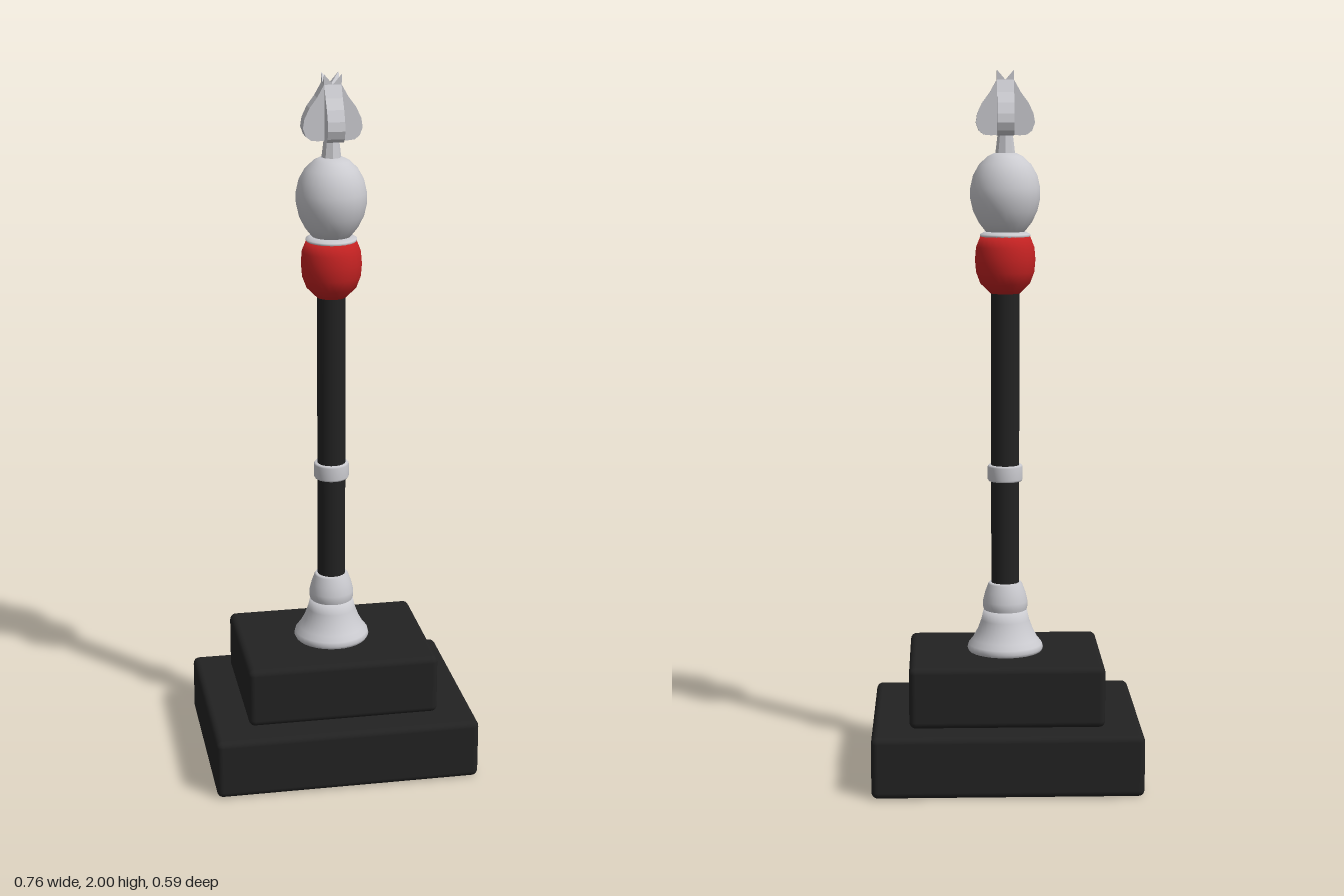
import * as THREE from 'three';
import { RoundedBoxGeometry } from 'three/addons/geometries/RoundedBoxGeometry.js';

function makeMaterial(name, color) {
  const m = new THREE.MeshStandardMaterial({ color });
  m.name = name;
  return m;
}

export function createModel() {
  const black = makeMaterial('black', 0x222222);
  const silver = makeMaterial('silver', 0xcbcbd0);
  const red = makeMaterial('red', 0xc42222);
  const model = new THREE.Group();
  model.name = 'ceremonialStaff';

  const add = (name, geometry, material, y = 0) => {
    const mesh = new THREE.Mesh(geometry, material);
    mesh.name = name;
    mesh.position.y = y;
    model.add(mesh);
    return mesh;
  };
  // Profiles are [radius, height] pairs from bottom to top
  const turned = (name, profile, material, segments = 32) =>
    add(name, new THREE.LatheGeometry(profile.map(([r, y]) => new THREE.Vector2(r, y)), segments), material);

  // Two-step plinth
  add('lowerPlinth', new RoundedBoxGeometry(0.76, 0.175, 0.588, 3, 0.018), black, 0.0875);
  add('upperPlinth', new RoundedBoxGeometry(0.55, 0.175, 0.425, 3, 0.018), black, 0.2625);

  // Flared foot and the knob above it
  turned('footFlare', [[0, 0.348], [0.104, 0.348], [0.109, 0.358], [0.106, 0.37], [0.094, 0.385],
    [0.08, 0.41], [0.069, 0.44], [0.062, 0.47], [0, 0.475]], silver);
  turned('footKnob', [[0.058, 0.46], [0.064, 0.478], [0.064, 0.495], [0.058, 0.52],
    [0.049, 0.545], [0.045, 0.55], [0, 0.55]], silver);

  // Shaft with its middle band
  add('shaft', new THREE.CylinderGeometry(0.04, 0.04, 0.88, 32), black, 0.96);
  turned('shaftBand', [[0.038, 0.845], [0.047, 0.845], [0.05, 0.85], [0.05, 0.886],
    [0.047, 0.891], [0.038, 0.891]], silver);

  // Red bulb, collar and silver bulb
  turned('redBulb', [[0, 1.38], [0.042, 1.38], [0.07, 1.408], [0.082, 1.44], [0.085, 1.475],
    [0.082, 1.51], [0.07, 1.54], [0, 1.54]], red, 24);
  turned('collar', [[0.069, 1.538], [0.071, 1.541], [0.071, 1.546], [0.058, 1.553], [0, 1.553]], silver);
  turned('silverBulb', [[0, 1.545], [0.052, 1.55], [0.074, 1.578], [0.09, 1.61], [0.098, 1.645],
    [0.098, 1.675], [0.09, 1.71], [0.073, 1.74], [0.05, 1.762], [0.032, 1.771], [0, 1.774]], silver, 24);

  // Finial stem
  const stem = new THREE.CylinderGeometry(0.02, 0.028, 0.065, 8).toNonIndexed();
  stem.computeVertexNormals();
  add('finialStem', stem, silver, 1.8);

  // Crossed leaf-shaped blades
  const half = [[0.02, 1.822], [0.04, 1.82], [0.06, 1.822], [0.074, 1.833], [0.082, 1.855],
    [0.078, 1.88], [0.064, 1.91], [0.043, 1.938], [0.024, 1.972]];
  const outline = [...half, ...half.map(([x, y]) => [-x, y]).reverse()];
  const blade = new THREE.ExtrudeGeometry(
    new THREE.Shape(outline.map(([x, y]) => new THREE.Vector2(x, y))),
    { depth: 0.047, bevelEnabled: false });
  blade.translate(0, 0, -0.0235);
  for (let i = 0; i < 2; i++) {
    add(i ? 'sideBlades' : 'frontBlades', blade, silver).rotation.y = i * Math.PI / 2;
  }

  // Finial core: raised corners around a dipped centre
  let core = new THREE.BoxGeometry(0.048, 0.15, 0.048, 2, 1, 2);
  const p = core.attributes.position;
  for (let i = 0; i < p.count; i++) {
    const corner = Math.abs(p.getX(i)) > 0.01 && Math.abs(p.getZ(i)) > 0.01;
    p.setY(i, p.getY(i) < 0 ? 1.825 : corner ? 2 : 1.972);
  }
  core = core.toNonIndexed();
  core.computeVertexNormals();
  add('finialCore', core, silver);

  return model;
}
